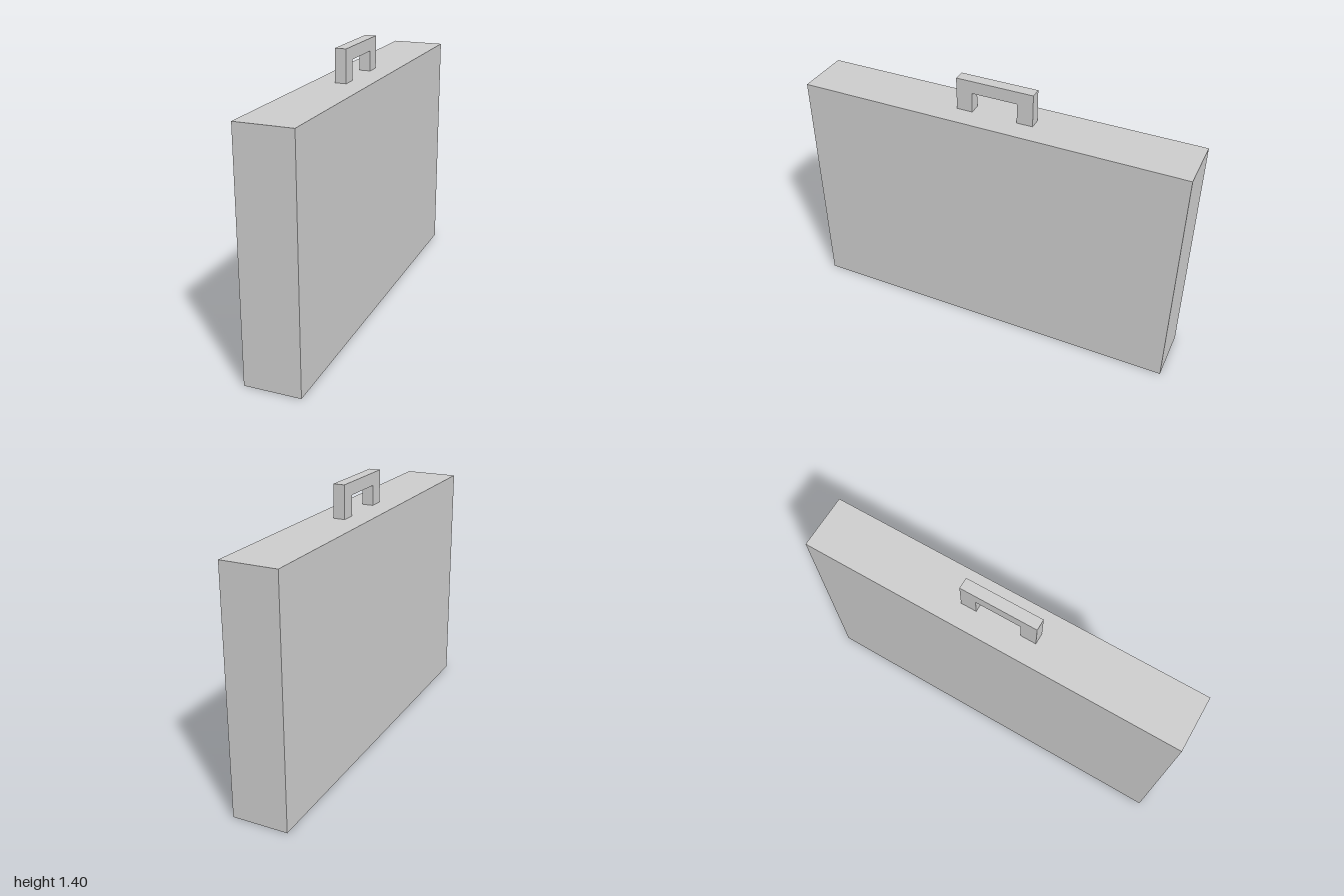
import * as THREE from 'three';

const BODY = { width: 0.286, height: 1.232, length: 2 };
const HANDLE = { width: 0.058, top: 1.4, underside: 1.335, outer: 0.2, inner: 0.118 };

export function createModel() {
  const group = new THREE.Group();
  group.name = 'briefcase';
  const material = new THREE.MeshStandardMaterial({ color: 0xcccccc, flatShading: true });

  // Case body: a plain box standing on the ground
  const body = new THREE.Mesh(new THREE.BoxGeometry(BODY.width, BODY.height, BODY.length), material);
  body.name = 'caseBody';
  body.position.y = BODY.height / 2;
  group.add(body);

  // Carrying handle: a square arch, extruded across the case
  const { width, top, underside, outer, inner } = HANDLE;
  const base = BODY.height;
  const arch = new THREE.Shape([
    [-outer, base], [-inner, base], [-inner, underside], [inner, underside],
    [inner, base], [outer, base], [outer, top], [-outer, top],
  ].map(([u, v]) => new THREE.Vector2(u, v)));
  const handleGeometry = new THREE.ExtrudeGeometry(arch, { depth: width, bevelEnabled: false });
  handleGeometry.translate(0, 0, -width / 2).rotateY(Math.PI / 2);
  const handle = new THREE.Mesh(handleGeometry, material);
  handle.name = 'handle';
  group.add(handle);

  return group;
}
